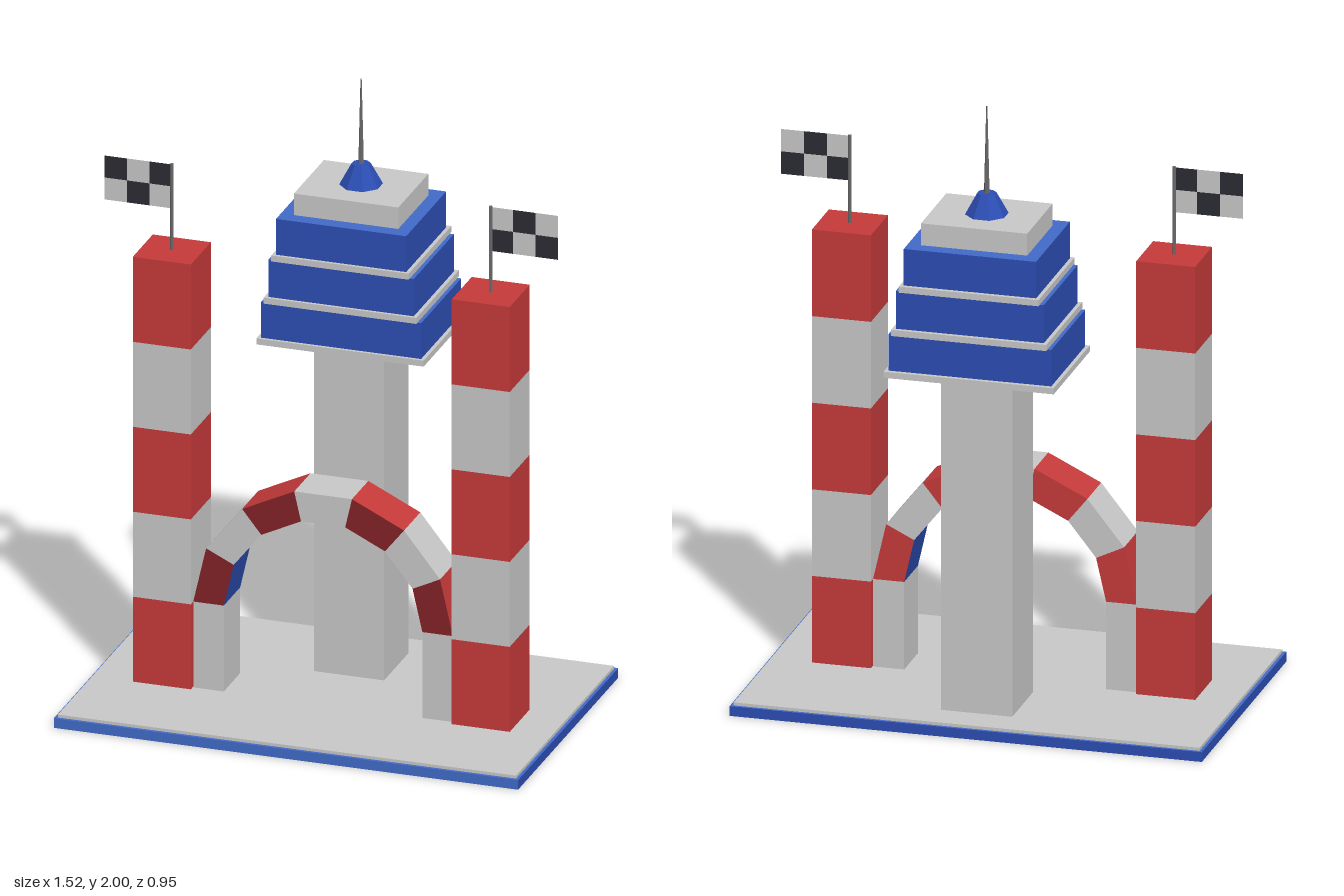
import * as THREE from 'three';

const mat = (name, color, side = THREE.FrontSide) => {
  const m = new THREE.MeshStandardMaterial({ color, side });
  m.name = name;
  return m;
};

export function createModel() {
  const model = new THREE.Group();
  model.name = 'controlTowerAndGate';

  const gray = mat('lightGray', 0xc8c8c9, THREE.DoubleSide);
  const red = mat('red', 0xc63a3a);
  const darkRed = mat('darkRed', 0x822226);
  const blue = mat('blue', 0x2c4eb4);
  const lightBlue = mat('lightBlue', 0x416ac8);
  const black = mat('black', 0x2b2b33, THREE.DoubleSide);
  const metal = mat('metalGray', 0x6a6a6c);

  const add = (name, geometry, material, parent = model) => {
    const mesh = new THREE.Mesh(geometry, material);
    mesh.name = name;
    parent.add(mesh);
    return mesh;
  };

  // Box given by its centre in x and z, its bottom and top, and its footprint
  const box = (name, material, x, z, y0, y1, w, d, parent) => {
    const mesh = add(name, new THREE.BoxGeometry(w, y1 - y0, d), material, parent);
    mesh.position.set(x, (y0 + y1) / 2, z);
    return mesh;
  };

  const tube = (name, material, x, z, y0, y1, r0, r1, sides, parent) => {
    const geo = new THREE.CylinderGeometry(r1, r0, y1 - y0, sides).toNonIndexed();
    geo.rotateY(Math.PI / sides);
    geo.computeVertexNormals();
    const mesh = add(name, geo, material, parent);
    mesh.position.set(x, (y0 + y1) / 2, z);
    return mesh;
  };

  // Base: face order is +x, -x, +y, -y, +z, -z
  const ground = 0.042;
  box('baseRim', [blue, blue, lightBlue, blue, lightBlue, blue], 0, 0, 0, 0.032, 1.52, 0.95);
  box('baseFloor', gray, 0, 0, 0.032, ground, 1.5, 0.93);

  // Striped pillars with chequered flags
  const gateZ = 0.045;
  const bandHeight = (1.467 - ground) / 5;
  for (const side of [-1, 1]) {
    const pillar = new THREE.Group();
    pillar.name = side > 0 ? 'leftPillar' : 'rightPillar';
    model.add(pillar);
    const x = side * 0.522;
    for (let i = 0; i < 5; i++) {
      const y = ground + i * bandHeight;
      box('pillarBand', i % 2 ? gray : red, x, gateZ, y, y + bandHeight, 0.19, 0.19, pillar);
    }
    tube('flagPole', metal, x, gateZ, 1.467, 1.755, 0.006, 0.006, 6, pillar);

    const cell = 0.0737;
    for (let col = 0; col < 3; col++) {
      for (let row = 0; row < 2; row++) {
        // The dark squares alternate across both flags from one side to the other
        const near = (col + row) % 2 === 0;
        const dark = side > 0 ? near : !near;
        const square = add('flagSquare', new THREE.PlaneGeometry(cell, cell), dark ? black : gray, pillar);
        square.position.set(x + side * (col + 0.5) * cell, 1.605 + (row + 0.5) * cell, gateZ);
      }
    }
  }

  // Arch: straight legs, then seven wedges round a half circle
  const arch = new THREE.Group();
  arch.name = 'arch';
  model.add(arch);
  const springY = 0.33;
  const inner = 0.325;
  const outer = 0.425;
  const depth = 0.155;
  for (const side of [-1, 1]) {
    box('archLeg', gray, side * (inner + outer) / 2, gateZ, ground, springY, outer - inner, depth, arch);
  }

  const point = (r, a, z) => [r * Math.cos(a), springY + r * Math.sin(a), gateZ + z * depth / 2];
  const wedge = (a, b) => {
    const faces = [
      [point(inner, a, 1), point(outer, a, 1), point(outer, b, 1), point(inner, b, 1)], // front
      [point(inner, b, -1), point(outer, b, -1), point(outer, a, -1), point(inner, a, -1)], // back
      [point(outer, a, 1), point(outer, a, -1), point(outer, b, -1), point(outer, b, 1)], // outside
      [point(inner, b, 1), point(inner, b, -1), point(inner, a, -1), point(inner, a, 1)], // underside
    ];
    const geo = new THREE.BufferGeometry();
    const corners = faces.flatMap(([p, q, r, s]) => [p, q, r, p, r, s]).flat();
    geo.setAttribute('position', new THREE.Float32BufferAttribute(corners, 3));
    geo.computeVertexNormals();
    faces.forEach((_, i) => geo.addGroup(i * 6, 6, i));
    return geo;
  };
  const step = Math.PI / 7;
  for (let i = 0; i < 7; i++) {
    const materials = i % 2 ? [gray, gray, gray, gray] : [darkRed, red, red, blue];
    add('archSegment', wedge(i * step, (i + 1) * step), materials, arch);
  }
  // Red wedges stand at both ends, next to the legs, and beside the crown

  // Control tower: shaft, three stepped storeys with ledges, roof and mast
  const tower = new THREE.Group();
  tower.name = 'controlTower';
  model.add(tower);
  const towerZ = -0.238;
  box('shaft', gray, 0, towerZ, ground, 1.15, 0.23, 0.23, tower);
  const storey = [blue, blue, lightBlue, blue, blue, blue];
  const levels = [
    [1.15, 1.17, 1.29, 0.524],
    [1.29, 1.31, 1.435, 0.476],
    [1.435, 1.455, 1.575, 0.426],
  ];
  for (const [y0, y1, y2, width] of levels) {
    box('ledge', gray, 0, towerZ - 0.002, y0, y1, width + 0.024, 0.405, tower);
    box('storey', storey, 0, towerZ, y1, y2, width, 0.38, tower);
  }
  box('roof', gray, 0, towerZ, 1.575, 1.647, 0.342, 0.285, tower);
  tube('mastFoot', blue, 0, towerZ, 1.647, 1.716, 0.068, 0.03, 8, tower);
  tube('mast', metal, 0, towerZ, 1.716, 2.0, 0.009, 0.002, 6, tower);

  return model;
}
